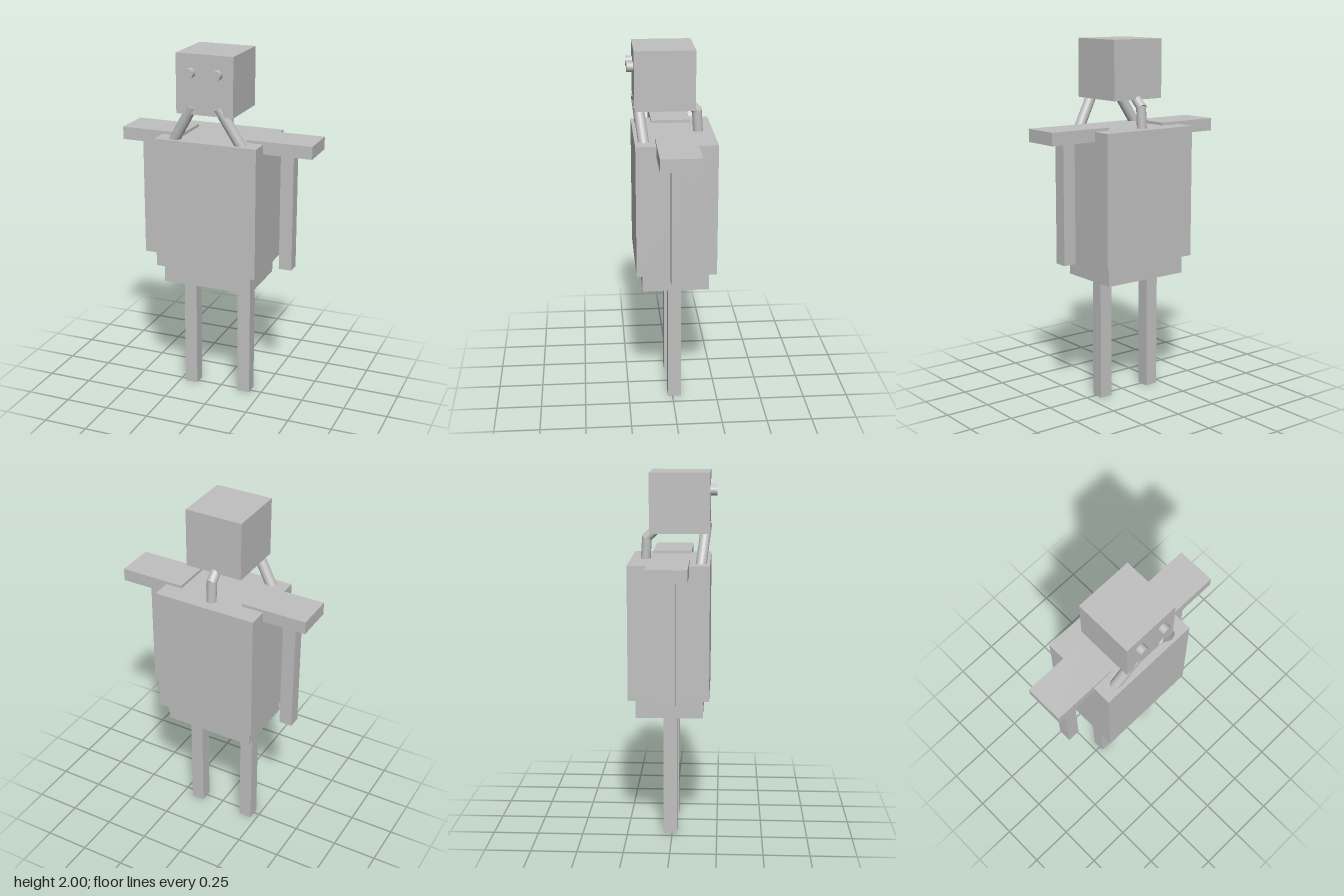
import * as THREE from 'three';

export function createModel() {
  const model = new THREE.Group();
  model.name = 'boxRobot';

  const grey = new THREE.MeshStandardMaterial({ color: 0xc0c0c0 });
  grey.name = 'plain grey';

  const add = (name, geometry) => {
    const mesh = new THREE.Mesh(geometry, grey);
    mesh.name = name;
    model.add(mesh);
    return mesh;
  };

  // Box given by its extents along each axis
  const box = (name, [x0, x1], [y0, y1], [z0, z1]) =>
    add(name, new THREE.BoxGeometry(x1 - x0, y1 - y0, z1 - z0))
      .position.set((x0 + x1) / 2, (y0 + y1) / 2, (z0 + z1) / 2);

  // Round rod between two points
  const rod = (name, from, to, radius) => {
    const a = new THREE.Vector3(...from);
    const b = new THREE.Vector3(...to);
    const dir = b.clone().sub(a);
    const mesh = add(name, new THREE.CylinderGeometry(radius, radius, dir.length(), 32));
    mesh.position.copy(a).add(b).multiplyScalar(0.5);
    mesh.quaternion.setFromUnitVectors(new THREE.Vector3(0, 1, 0), dir.normalize());
  };

  // Body and head
  box('torso', [-0.307, 0.276], [0.792, 1.524], [-0.235, 0.203]);
  box('pelvis', [-0.275, 0.238], [0.688, 0.792], [-0.196, 0.169]);
  box('head', [-0.176, 0.147], [1.677, 2], [-0.125, 0.2]);

  // Limbs: square posts sharing one depth
  const limbDepth = [-0.048, 0.026];
  box('rightLeg', [-0.217, -0.143], [0, 0.688], limbDepth);
  box('leftLeg', [0.111, 0.185], [0, 0.688], limbDepth);
  box('rightArm', [-0.46, -0.387], [0.792, 1.47], limbDepth);
  box('leftArm', [0.353, 0.426], [0.803, 1.47], limbDepth);

  // Shoulder plates
  box('rightShoulder', [-0.549, -0.185], [1.47, 1.54], [-0.125, 0.093]);
  box('leftShoulder', [0.183, 0.548], [1.47, 1.54], [-0.125, 0.093]);

  // Eyes
  rod('rightEye', [-0.092, 1.9, 0.18], [-0.092, 1.9, 0.236], 0.027);
  rod('leftEye', [0.061, 1.9, 0.18], [0.061, 1.9, 0.236], 0.027);

  // Neck struts: two slanted in front, one bent behind
  rod('rightNeckStrut', [-0.221, 1.498, 0.152], [-0.09, 1.72, 0.18], 0.029);
  rod('leftNeckStrut', [0.186, 1.498, 0.152], [0.058, 1.72, 0.18], 0.029);
  rod('backNeckStrutLower', [-0.018, 1.49, -0.156], [-0.018, 1.645, -0.146], 0.027);
  rod('backNeckStrutUpper', [-0.018, 1.632, -0.155], [-0.018, 1.71, -0.07], 0.027);

  return model;
}
